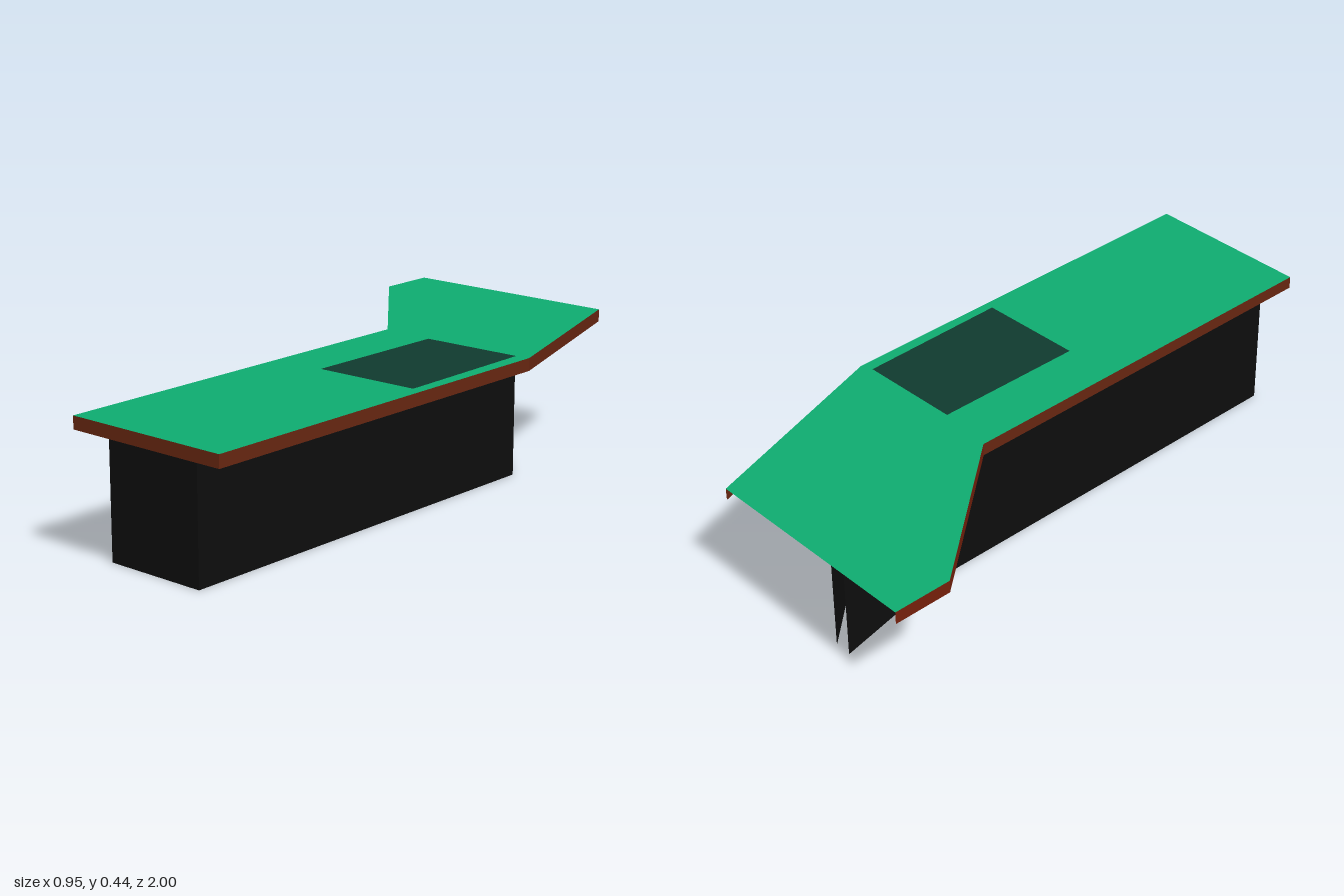
import * as THREE from 'three';

const material = (name, color) =>
  new THREE.MeshStandardMaterial({ name, color, side: THREE.DoubleSide });

// Upright open strip following [x, z] points, outward face to the right of travel
function wall(name, points, y0, y1, mat) {
  const pos = [];
  for (let i = 0; i < points.length - 1; i++) {
    const [ax, az] = points[i], [bx, bz] = points[i + 1];
    pos.push(ax, y0, az, bx, y0, bz, bx, y1, bz, ax, y0, az, bx, y1, bz, ax, y1, az);
  }
  const geo = new THREE.BufferGeometry();
  geo.setAttribute('position', new THREE.Float32BufferAttribute(pos, 3));
  geo.computeVertexNormals();
  const mesh = new THREE.Mesh(geo, mat);
  mesh.name = name;
  return mesh;
}

// Flat horizontal sheet from an [x, z] outline
function sheet(name, points, y, mat) {
  const shape = new THREE.Shape(points.map(([x, z]) => new THREE.Vector2(x, -z)));
  const geo = new THREE.ShapeGeometry(shape).rotateX(-Math.PI / 2).translate(0, y, 0);
  const mesh = new THREE.Mesh(geo, mat);
  mesh.name = name;
  return mesh;
}

export function createModel() {
  const green = material('green surface', 0x0eab6f);
  const darkGreen = material('dark green inset', 0x103a2e);
  const brown = material('brown edge', 0x662611);
  const redBrown = material('red brown edge', 0x75200b);
  const black = material('black base', 0x0d0d0d);

  const TOP = 0.44, UNDER = 0.4;
  const model = new THREE.Group();
  model.name = 'counter';

  // Bent counter top
  const outline = [
    [-0.08, -0.33], [-0.08, 1], [0.475, 1], [0.475, -0.33],
    [0.26, -1], [-0.478, -1], [-0.478, -0.81],
  ];
  model.add(sheet('counterTop', outline, TOP, green));

  // Hanging edge trim, open along the back
  model.add(wall('edgeTrim', outline.slice(0, 5), UNDER, TOP, brown));
  model.add(wall('wingEdgeTrim', [...outline.slice(5), outline[0]], UNDER, TOP, redBrown));

  // Dark inset, visible from above and beneath
  const inset = [[0.097, 0.185], [0.443, 0.178], [0.435, -0.318], [0.1, -0.312]];
  model.add(sheet('insetUpper', inset, TOP + 0.002, darkGreen));
  model.add(sheet('insetLower', inset, TOP - 0.002, darkGreen));

  // Hollow base wall, open at the back and underneath
  const base = [
    [-0.12, -0.893], [-0.04, -0.495], [-0.04, 0.907],
    [0.3, 0.907], [0.3, -0.495], [-0.065, -0.893],
  ];
  model.add(wall('baseWall', base, 0, UNDER, black));

  return model;
}
